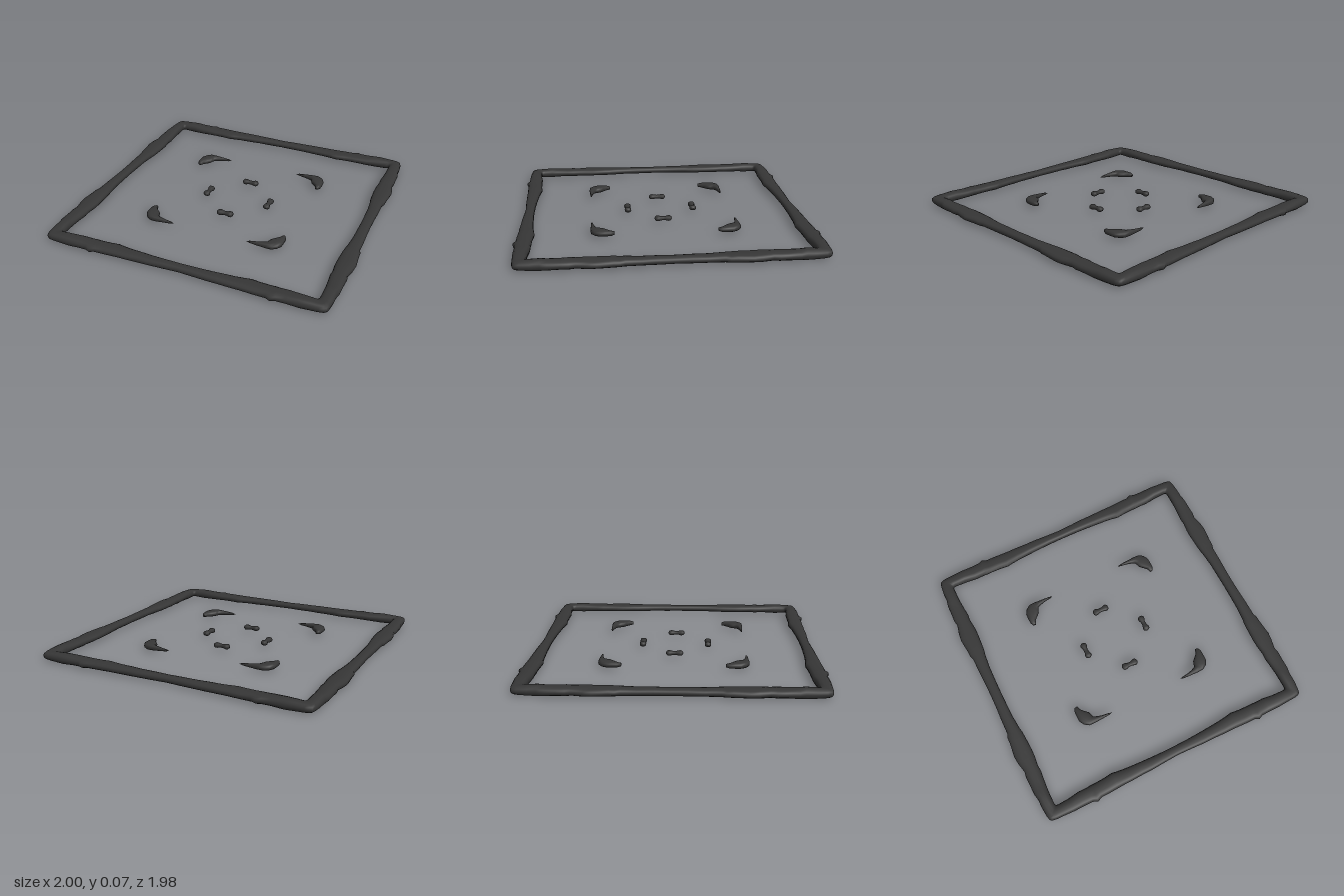
import * as THREE from 'three';

const MID_Y = 0.034;

// Lofts rounded sections [outerX, outerZ, innerX, innerZ, halfHeight] into a smooth solid.
function loft(sections, closed) {
  const sides = 14, pos = [], index = [];
  const soft = (v) => Math.sign(v) * Math.abs(v) ** 0.8;
  for (const [ox, oz, ix, iz, h] of sections) {
    for (let j = 0; j < sides; j++) {
      const a = (j / sides) * Math.PI * 2;
      const c = soft(Math.cos(a)) / 2, s = soft(Math.sin(a));
      pos.push((ox + ix) / 2 + (ox - ix) * c, MID_Y + h * s, (oz + iz) / 2 + (oz - iz) * c);
    }
  }
  const n = sections.length;
  for (let i = 0; i < (closed ? n : n - 1); i++) {
    for (let j = 0; j < sides; j++) {
      const k = (j + 1) % sides, i2 = (i + 1) % n;
      const a = i * sides + j, b = i * sides + k, c = i2 * sides + j, d = i2 * sides + k;
      index.push(a, b, c, b, d, c);
    }
  }
  const geo = new THREE.BufferGeometry();
  geo.setAttribute('position', new THREE.Float32BufferAttribute(pos, 3));
  geo.setIndex(index);
  geo.computeVertexNormals();
  return geo;
}

// Mirrors a quarter of the layout; reversing the order keeps faces outward.
function mirror(sections, sx, sz) {
  const out = sections.map(([ox, oz, ix, iz, h]) => [ox * sx, oz * sz, ix * sx, iz * sz, h]);
  return sx * sz < 0 ? out.reverse() : out;
}

export function createModel() {
  const group = new THREE.Group();
  const charcoal = new THREE.MeshStandardMaterial({ color: 0x363636 });
  charcoal.name = 'charcoal';
  const add = (name, geo) => {
    const mesh = new THREE.Mesh(geo, charcoal);
    mesh.name = name;
    group.add(mesh);
    return mesh;
  };

  // Uneven border: [distance from middle, outer edge, inner edge, half height]
  const sideEdge = [
    [0, 0.971, 0.898, 0.022], [0.1, 0.972, 0.897, 0.024], [0.2, 0.976, 0.895, 0.023],
    [0.3, 0.977, 0.886, 0.025], [0.33, 0.988, 0.88, 0.024], [0.37, 0.989, 0.877, 0.026],
    [0.47, 1.0, 0.872, 0.025], [0.52, 0.995, 0.873, 0.027], [0.59, 0.979, 0.881, 0.026],
    [0.63, 0.986, 0.877, 0.028], [0.68, 0.984, 0.882, 0.027], [0.76, 0.983, 0.888, 0.03],
    [0.8, 0.974, 0.889, 0.034], [0.86, 0.974, 0.889, 0.031],
  ];
  const endEdge = [
    [0, 0.954, 0.889, 0.022], [0.1, 0.958, 0.888, 0.024], [0.2, 0.964, 0.884, 0.023],
    [0.27, 0.964, 0.88, 0.025], [0.36, 0.968, 0.874, 0.024], [0.42, 0.968, 0.867, 0.025],
    [0.46, 0.97, 0.86, 0.026], [0.52, 0.973, 0.867, 0.026], [0.59, 0.974, 0.87, 0.026],
    [0.62, 0.988, 0.869, 0.028], [0.65, 0.975, 0.872, 0.028], [0.71, 0.973, 0.871, 0.029],
    [0.79, 0.974, 0.882, 0.034], [0.86, 0.97, 0.885, 0.031],
  ];
  const corner = [
    [0.968, 0.925, 0.888, 0.872, 0.029], [0.96, 0.953, 0.884, 0.88, 0.028],
    [0.945, 0.963, 0.88, 0.884, 0.028], [0.915, 0.968, 0.868, 0.886, 0.029],
  ];
  const quarter = [
    ...sideEdge.map(([t, o, i, h]) => [o, t, i, t, h]),
    ...corner,
    ...endEdge.map(([t, o, i, h]) => [t, o, t, i, h]).reverse(),
  ];
  const quadrants = [[1, 1], [-1, 1], [-1, -1], [1, -1]];
  const ring = quadrants.flatMap(([sx, sz]) => mirror(quarter, sx, sz).slice(0, -1));
  add('borderFrame', loft(ring, true));

  // Curved corner brackets, thick at one end and tapering to a point
  const bracket = [
    [0.474, 0.343, 0.474, 0.343, 0], [0.488, 0.346, 0.465, 0.344, 0.011],
    [0.499, 0.368, 0.457, 0.372, 0.017], [0.5, 0.405, 0.433, 0.396, 0.02],
    [0.499, 0.445, 0.412, 0.415, 0.022], [0.48, 0.478, 0.405, 0.435, 0.022],
    [0.45, 0.499, 0.398, 0.455, 0.021], [0.41, 0.501, 0.372, 0.467, 0.018],
    [0.35, 0.498, 0.335, 0.477, 0.013], [0.295, 0.495, 0.29, 0.483, 0.008],
    [0.268, 0.489, 0.268, 0.489, 0],
  ];
  for (const [sx, sz] of quadrants) {
    add(`${sz > 0 ? 'front' : 'back'}${sx > 0 ? 'Left' : 'Right'}Bracket`,
      loft(mirror(bracket, sx, sz), false));
  }

  // Four small knuckled bars around the centre
  const half = [[0.06, 0, 0], [0.057, 0.013, 0.01], [0.047, 0.023, 0.017],
    [0.033, 0.023, 0.018], [0.015, 0.016, 0.014]];
  const profile = [...half.map(([t, w, h]) => [-t, w, h]), [0, 0.015, 0.013], ...half.slice().reverse()];
  const bar = loft(profile.map(([t, w, h]) => [0.232 + w, t, 0.232 - w, t, h]), false);
  ['left', 'back', 'right', 'front'].forEach((side, i) => {
    add(`${side}CentreBar`, bar).rotation.y = (i * Math.PI) / 2;
  });

  return group;
}
